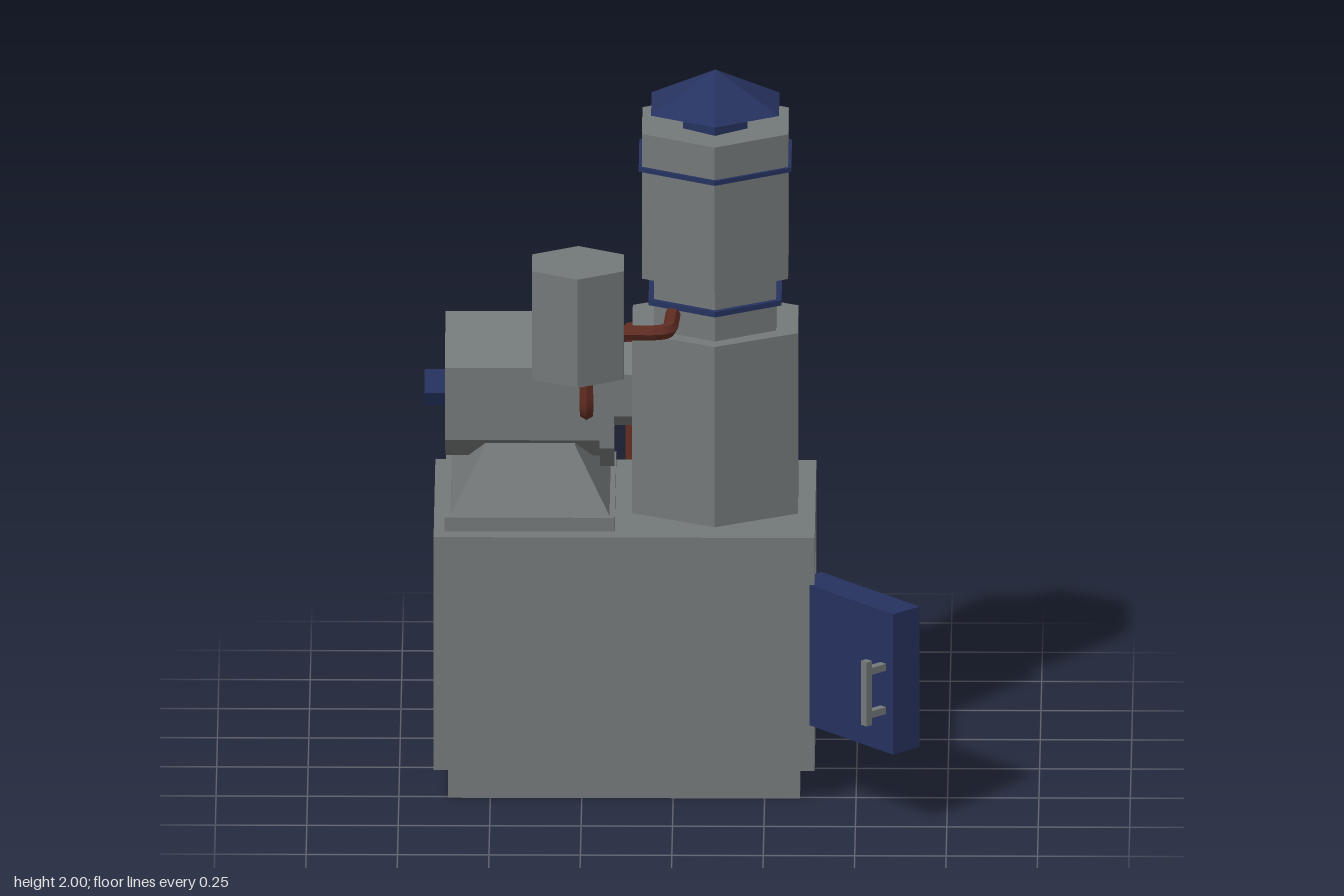
import * as THREE from 'three';

const make = (name, color) =>
  new THREE.MeshStandardMaterial({ name, color, flatShading: true, side: THREE.DoubleSide });

export function createModel() {
  const grey = make('steel grey', 0x737878);
  const blue = make('navy blue', 0x26325f);
  const rust = make('rust red', 0x602c22);
  const brass = make('brass', 0xae8746);
  const root = new THREE.Group();

  const add = (name, geo, mat, x = 0, y = 0, z = 0, parent = root) => {
    const m = new THREE.Mesh(geo, mat);
    m.name = name;
    m.position.set(x, y, z);
    parent.add(m);
    return m;
  };
  // Box given by its limits, optionally leaving out sides (0..5 = +x -x +y -y +z -z)
  const box = (name, mat, [x0, x1], [y0, y1], [z0, z1], skip = [], parent = root) => {
    const g = new THREE.BoxGeometry(x1 - x0, y1 - y0, z1 - z0);
    const idx = Array.from(g.index.array).filter((_, i) => !skip.includes(Math.floor(i / 6)));
    g.setIndex(idx);
    g.clearGroups();
    return add(name, g, mat, (x0 + x1) / 2, (y0 + y1) / 2, (z0 + z1) / 2, parent);
  };
  const rect = (C, x0, x1, y0, y1) =>
    new C([[x0, y0], [x1, y0], [x1, y1], [x0, y1]].map(p => new THREE.Vector2(...p)));
  // Upright six-sided prism, corners towards +z and -z
  const hex = (name, mat, r, y0, y1, x, z, sx = 1, rTop = r) =>
    add(name, new THREE.CylinderGeometry(rTop, r, y1 - y0, 6).scale(sx, 1, 1), mat, x, (y0 + y1) / 2, z);
  // Six-sided prism lying along x, corners up and down
  const hexX = (name, mat, r, x0, x1, y, z) =>
    add(name, new THREE.CylinderGeometry(r, r, x1 - x0, 6).rotateY(Math.PI / 6).rotateZ(Math.PI / 2),
      mat, (x0 + x1) / 2, y, z);
  // Six-sided pipe through points with rounded elbows
  const pipe = (name, r, bend, pts) => {
    const p = pts.map(a => new THREE.Vector3(...a));
    const path = new THREE.CurvePath();
    let from = p[0];
    for (let i = 1; i < p.length - 1; i++) {
      const a = p[i].clone().add(p[i - 1].clone().sub(p[i]).setLength(bend));
      const b = p[i].clone().add(p[i + 1].clone().sub(p[i]).setLength(bend));
      path.add(new THREE.LineCurve3(from, a));
      path.add(new THREE.QuadraticBezierCurve3(a, p[i], b));
      from = b;
    }
    path.add(new THREE.LineCurve3(from, p[p.length - 1]));
    return add(name, new THREE.TubeGeometry(path, 48, r, 6), rust);
  };

  // Hollow furnace body, open below, with a firebox in its left side
  const bx = [-0.655, 0.387], bz = [-0.385, 0.285];
  box('body', grey, bx, [0.088, 0.76], bz, [0, 3]);
  const wall = rect(THREE.Shape, -bz[1], -bz[0], 0.088, 0.76);
  wall.holes.push(rect(THREE.Path, -0.175, 0.265, 0.205, 0.645));
  add('doorWall', new THREE.ShapeGeometry(wall).rotateY(Math.PI / 2), grey, bx[1]);
  box('firebox', grey, [0.18, bx[1]], [0.205, 0.645], [-0.265, 0.175], [0]);
  const px = [-0.615, 0.347], pz = [-0.355, 0.26];
  box('plinth', grey, px, [0, 0.088], pz, [2, 3]);
  const ledge = rect(THREE.Shape, bx[0], bx[1], bz[0], bz[1]);
  ledge.holes.push(rect(THREE.Path, px[0], px[1], pz[0], pz[1]));
  add('bodyLedge', new THREE.ShapeGeometry(ledge).rotateX(Math.PI / 2), grey, 0, 0.088, 0);

  // Firebox door, swung open, with handle
  const door = new THREE.Group();
  door.name = 'door';
  door.position.set(0.405, 0, 0.175);
  door.rotation.y = -0.829;
  root.add(door);
  box('doorPanel', blue, [0, 0.4], [0.22, 0.625], [0, 0.098], [], door);
  box('handleBar', grey, [0.35, 0.372], [0.31, 0.495], [0.15, 0.17], [], door);
  for (const y of [0.33, 0.455])
    box('handleProng', grey, [0.35, 0.372], [y, y + 0.02], [0.095, 0.155], [], door);

  // Chimney
  const cx = 0.113, cz = -0.045;
  hex('chimneyBase', grey, 0.24, 0.76, 1.28, cx, cz, 1.09);
  hex('chimneyNeck', grey, 0.193, 1.28, 1.435, cx, cz);
  hex('chimneyTop', grey, 0.231, 1.435, 1.852, cx, cz);
  hex('neckBand', blue, 0.21, 1.355, 1.37, cx, cz);
  hex('topBand', blue, 0.241, 1.745, 1.758, cx, cz);
  hex('capCollar', blue, 0.13, 1.85, 1.905, cx, cz, 0.78);
  hex('capRoof', blue, 0.202, 1.9, 2.0, cx, cz, 1, 0);

  // Inspection hatch behind the chimney
  box('hatchFrame', blue, [0.015, 0.207], [1.5, 1.695], [-0.29, -0.18]);
  box('hatchCover', blue, [0, 0.22], [1.49, 1.71], [-0.33, -0.285]);
  const lying = (r, h) => new THREE.CylinderGeometry(r, r, h, 6).rotateX(Math.PI / 2);
  add('hatchStem', lying(0.009, 0.04), rust, 0.037, 1.585, -0.343);
  add('hatchKnob', lying(0.023, 0.012), rust, 0.037, 1.585, -0.361);

  // Hopper: base plate and tapering hood
  const hx = -0.392, hz = -0.05;
  box('hopperPlate', grey, [-0.625, -0.16], [0.76, 0.8], [-0.335, 0.235]);
  const hood = new THREE.BoxGeometry(0.435, 0.17, 0.535);
  const pos = hood.attributes.position;
  for (let i = 0; i < pos.count; i++)
    if (pos.getY(i) > 0) {
      pos.setX(i, Math.sign(pos.getX(i)) * 0.122);
      pos.setZ(i, Math.sign(pos.getZ(i)) * 0.165);
    }
  hood.computeVertexNormals();
  add('hopperHood', hood, grey, hx, 0.885, hz);

  // Blower drum, flange, duct and end socket
  hexX('drum', grey, 0.208, -0.625, -0.2, 1.092, hz);
  hexX('drumFlange', grey, 0.238, -0.202, -0.163, 1.092, hz);
  hexX('drumDuct', grey, 0.12, -0.165, -0.08, 1.092, hz);
  const socket = [[0, 0.02], [0.032, 0.02], [0.032, 0.057], [0.05, 0.057], [0.05, 0]]
    .map(p => new THREE.Vector2(...p));
  add('drumSocket', new THREE.LatheGeometry(socket, 6).rotateZ(Math.PI / 2), blue, -0.625, 1.08, hz);

  // Small tank with its two pipes
  hex('tank', grey, 0.145, 1.24, 1.552, -0.26, 0.285);
  pipe('tankSidePipe', 0.021, 0.05, [[-0.18, 1.34, 0.253], [-0.01, 1.34, 0.253], [0.0, 1.34, 0.06]]);
  pipe('tankDrainPipe', 0.021, 0.05, [[-0.237, 1.26, 0.29], [-0.237, 1.11, 0.29], [-0.237, 1.11, 0.09]]);

  // Bypass pipe behind the chimney
  const ex = 0.257;
  pipe('bypassPipe', 0.034, 0.06,
    [[ex, 1.195, -0.17], [ex, 1.195, -0.328], [ex, 0.808, -0.328], [ex, 0.808, -0.17]]);

  // Rear riser and its two branch pipes with valves
  hex('riser', rust, 0.038, 0.195, 1.1, -0.103, -0.525);
  pipe('upperBranch', 0.021, 0.06,
    [[-0.355, 0.995, -0.19], [-0.322, 0.995, -0.525], [0.235, 0.995, -0.525], [0.257, 0.995, -0.33]]);
  pipe('lowerBranch', 0.021, 0.06,
    [[-0.437, 0.305, -0.375], [-0.42, 0.305, -0.525], [0.235, 0.305, -0.525], [0.257, 0.305, -0.375]]);
  const valve = (x, y, h, z) => {
    box('valveStem', brass, [x - 0.01, x + 0.01], [y, y + h], [z - 0.01, z + 0.01]);
    box('valveLever', brass, [x - 0.01, x + 0.077], [y + h - 0.015, y + h], [z - 0.01, z + 0.01]);
  };
  valve(-0.333, 0.995, 0.07, -0.414);
  valve(0.248, 0.995, 0.07, -0.414);
  valve(-0.431, 0.305, 0.095, -0.456);
  valve(0.246, 0.305, 0.095, -0.456);

  return root;
}
